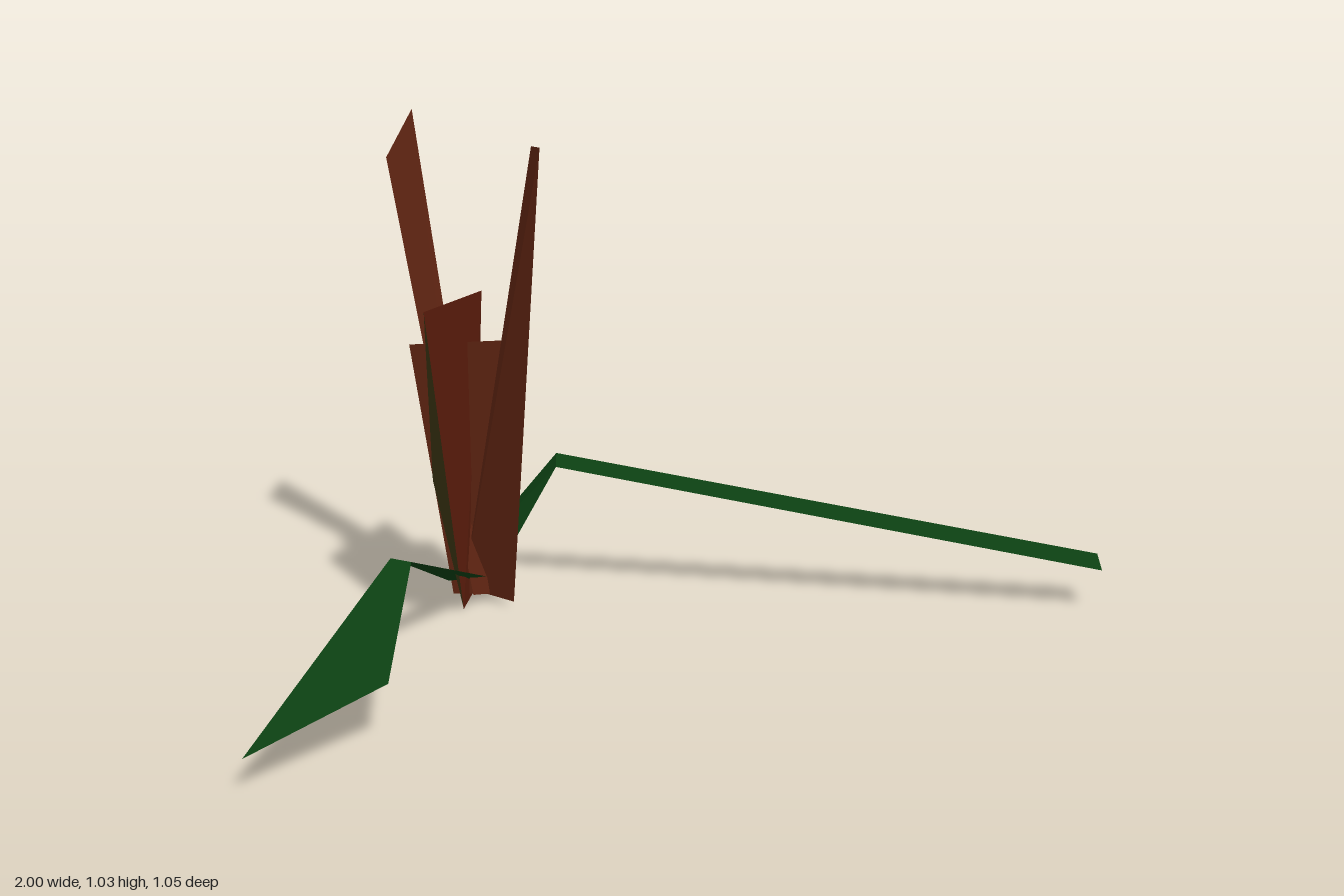
import * as THREE from 'three';

const GREEN = 0x0c3f12, OLIVE = 0x2c260c, RED = 0x5a1c0c, RUST = 0x5a2210;

// Thin blade: rows of [left edge, right edge] points joined into a strip
function blade(name, color, rows) {
  const index = [];
  for (let i = 0; i < rows.length - 1; i++) {
    const a = i * 2;
    index.push(a, a + 1, a + 3, a, a + 3, a + 2);
  }
  const geometry = new THREE.BufferGeometry();
  geometry.setAttribute('position', new THREE.Float32BufferAttribute(rows.flat(2), 3));
  geometry.setIndex(index);
  geometry.computeVertexNormals();
  const mesh = new THREE.Mesh(geometry, new THREE.MeshStandardMaterial({
    color, side: THREE.DoubleSide, flatShading: true,
  }));
  mesh.name = name;
  return mesh;
}

export function createModel() {
  const group = new THREE.Group();
  group.name = 'plant';

  group.add(
    // Drooping leaves, each bent at a knee
    blade('rightDroopingLeaf', GREEN, [
      [[-0.18, 0.04, -0.28], [-0.13, 0.06, -0.21]],
      [[-0.47, 0.21, 0.01], [-0.44, 0.205, 0.04]],
      [[-1.0, 0.065, 0.485], [-0.68, 0.11, 0.4]],
    ]),
    blade('leftDroopingLeaf', GREEN, [
      [[-0.1, 0.085, -0.31], [-0.11, 0.05, -0.245]],
      [[-0.075, 0.075, -0.355], [-0.06, 0.125, -0.21]],
      [[0.085, 0.29, -0.27], [0.05, 0.275, -0.215]],
      [[0.995, 0.1, 0.465], [0.95, 0.085, 0.525]],
    ]),

    // Broad upright leaf with a green lower flank
    blade('broadLeaf', RED, [
      [[-0.19, 0, -0.2], [-0.1, 0, -0.31]],
      [[-0.305, 0.66, -0.145], [-0.05, 0.65, -0.356]],
    ]),
    blade('broadLeafFlank', OLIVE, [
      [[-0.33, 0.33, -0.07], [-0.19, 0, -0.2]],
      [[-0.33, 0.33, -0.07], [-0.305, 0.66, -0.145]],
    ]),

    // Upright leaf crossing the broad one
    blade('crossingLeaf', RUST, [
      [[-0.17, 0.01, -0.28], [-0.09, 0.02, -0.19]],
      [[-0.215, 0.545, -0.38], [-0.037, 0.567, -0.2]],
    ]),

    // Tall narrow leaves, one leaning forward and one back
    blade('tallFrontLeaf', RUST, [
      [[-0.145, 0.02, -0.28], [-0.09, 0.01, -0.16]],
      [[-0.1, 0.99, -0.063], [-0.1, 0.99, -0.03]],
    ]),
    blade('tallBackLeaf', RUST, [
      [[-0.155, 0.02, -0.22], [-0.12, 0.02, -0.21]],
      [[-0.21, 0.935, -0.48], [-0.12, 1.03, -0.53]],
    ]),
  );
  return group;
}
